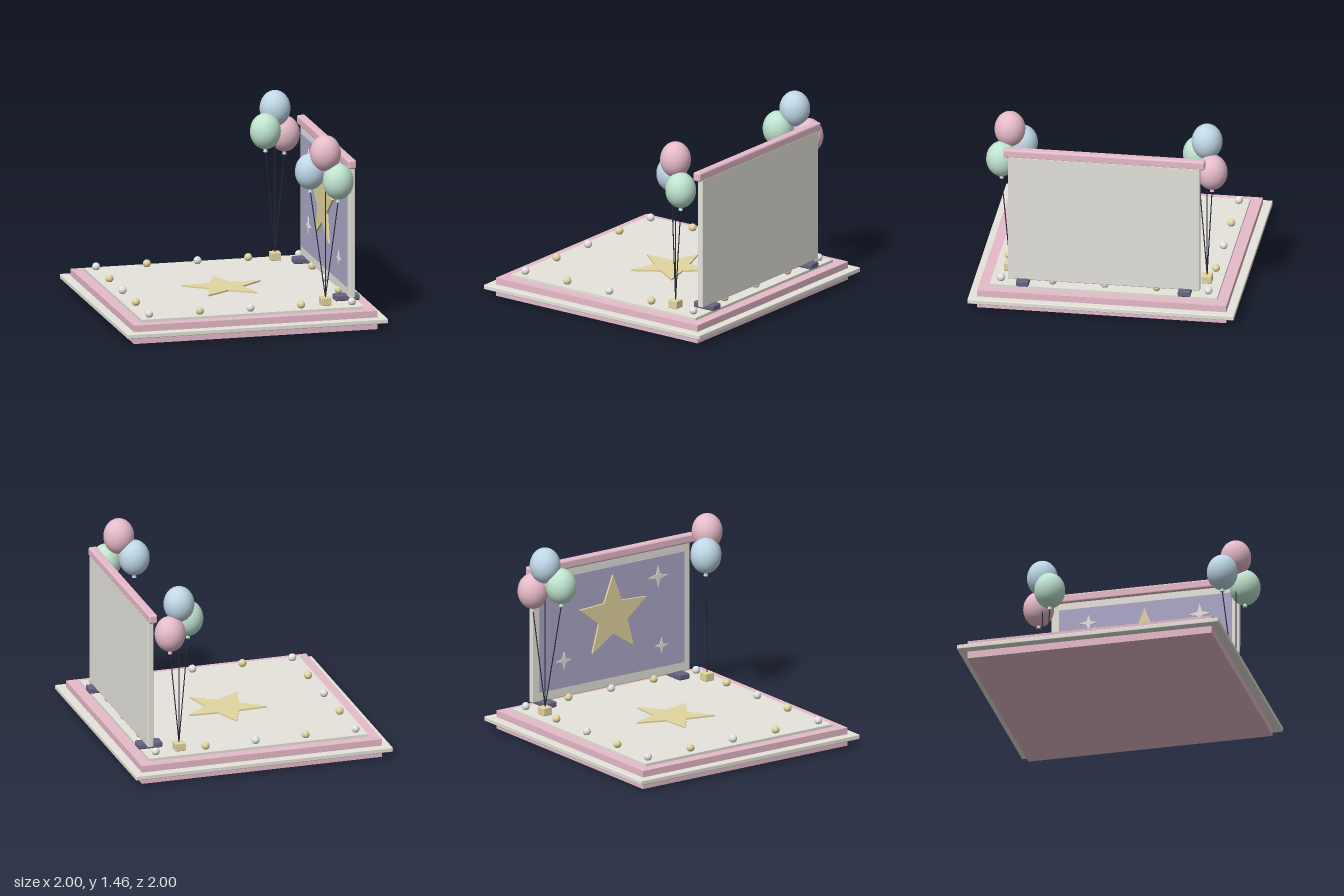
import * as THREE from 'three';
import { RoundedBoxGeometry } from 'three/addons/geometries/RoundedBoxGeometry.js';

const mat = (name, color) => {
  const m = new THREE.MeshStandardMaterial({ color });
  m.name = name;
  return m;
};

export function createModel() {
  const cream = mat('cream', 0xe6e4dc);
  const pink = mat('pink', 0xe8bccb);
  const gold = mat('gold', 0xe2d6a0);
  const lavender = mat('lavender', 0xada8ca);
  const slate = mat('slate', 0x686484);
  const blue = mat('pale blue', 0xc0d9e8);
  const green = mat('mint', 0xc0e4d0);
  const silver = mat('silver', 0xe4e4e2);
  const cord = mat('dark cord', 0x2a2a38);

  const root = new THREE.Group();
  root.name = 'partyStage';

  const add = (parent, name, geometry, material, x = 0, y = 0, z = 0) => {
    const mesh = new THREE.Mesh(geometry, material);
    mesh.name = name;
    mesh.position.set(x, y, z);
    parent.add(mesh);
    return mesh;
  };
  // Box given by its low and high limits on each axis
  const box = (name, material, [x0, x1], [y0, y1], [z0, z1], round = 0) => {
    const size = [x1 - x0, y1 - y0, z1 - z0];
    const geometry = round
      ? new RoundedBoxGeometry(...size, 3, round)
      : new THREE.BoxGeometry(...size);
    return add(root, name, geometry, material, (x0 + x1) / 2, (y0 + y1) / 2, (z0 + z1) / 2);
  };
  const starGeometry = (points, outer, inner, depth) => {
    const corners = [];
    for (let i = 0; i < points * 2; i++) {
      const r = i % 2 ? inner : outer;
      const a = Math.PI / 2 + (i * Math.PI) / points;
      corners.push(new THREE.Vector2(r * Math.cos(a), r * Math.sin(a)));
    }
    return new THREE.ExtrudeGeometry(new THREE.Shape(corners), { depth, bevelEnabled: false });
  };

  // Stepped platform
  box('platform', pink, [-0.935, 0.935], [0, 0.14], [-0.935, 0.935]);
  box('platformTrim', cream, [-1, 1], [0.055, 0.09], [-1, 1], 0.006);
  box('deck', cream, [-0.853, 0.853], [0.14, 0.16], [-0.853, 0.853]);
  add(root, 'deckStar', starGeometry(5, 0.32, 0.137, 0.012).rotateX(-Math.PI / 2), gold, 0, 0.16, 0);

  // Light bulbs round the edge, alternating in colour
  const bulb = new THREE.SphereGeometry(0.03, 20, 14);
  for (let i = -2; i <= 2; i++) {
    for (let j = -2; j <= 2; j++) {
      if (Math.max(Math.abs(i), Math.abs(j)) < 2) continue;
      add(root, 'bulb', bulb, (i + j) % 2 ? gold : silver, i * 0.389, 0.184, j * 0.389);
    }
  }

  // Backdrop with its feet and top rail
  box('backdropPanel', cream, [0.775, 0.82], [0.195, 1.2], [-0.72, 0.72], 0.008);
  box('backdropBoard', lavender, [0.765, 0.78], [0.27, 1.13], [-0.66, 0.66]);
  box('topRail', pink, [0.755, 0.82], [1.187, 1.256], [-0.755, 0.755], 0.015);
  for (const s of [-1, 1]) {
    const z = s * 0.607;
    box('foot', slate, [0.685, 0.872], [0.16, 0.205], [z - 0.047, z + 0.047], 0.01);
  }

  // Stars on the board, facing -x
  add(root, 'boardStar', starGeometry(5, 0.32, 0.137, 0.017).rotateY(-Math.PI / 2), gold, 0.766, 0.75, 0);
  for (const [z, y, r] of [[0.42, 0.98, 0.085], [0.45, 0.44, 0.06], [-0.44, 0.48, 0.07], [-0.43, 1.0, 0.07]]) {
    add(root, 'sparkle', starGeometry(4, r, r * 0.3, 0.009).rotateY(-Math.PI / 2), cream, 0.766, y, z);
  }

  // Balloon bunches tied to weights, mirrored front and back
  const balloon = new THREE.SphereGeometry(0.115, 32, 24).scale(1, 1.18, 1);
  const knot = new THREE.CylinderGeometry(0.011, 0.017, 0.026, 12);
  const up = new THREE.Vector3(0, 1, 0);
  const spots = [[0, 1.32, 0], [-0.095, 1.168, -0.08], [0.085, 1.11, 0.05]];
  const bunch = (name, s, colours) => {
    const group = new THREE.Group();
    group.name = name;
    group.position.set(0.585, 0, s * 0.74);
    root.add(group);
    add(group, 'weight', new RoundedBoxGeometry(0.078, 0.062, 0.078, 2, 0.006), gold, 0, 0.192, 0);
    const start = new THREE.Vector3(0, 0.22, 0);
    spots.forEach(([x, y, dz], i) => {
      const z = s * dz;
      add(group, 'balloon', balloon, colours[i], x, y, z);
      add(group, 'knot', knot, colours[i], x, y - 0.145, z);
      const end = new THREE.Vector3(x, y - 0.15, z);
      const line = end.clone().sub(start);
      const string = add(group, 'string', new THREE.CylinderGeometry(0.004, 0.004, line.length(), 8), cord);
      string.position.copy(start).add(end).multiplyScalar(0.5);
      string.quaternion.setFromUnitVectors(up, line.normalize());
    });
  };
  bunch('frontBalloons', 1, [pink, blue, green]);
  bunch('backBalloons', -1, [blue, green, pink]);

  return root;
}
